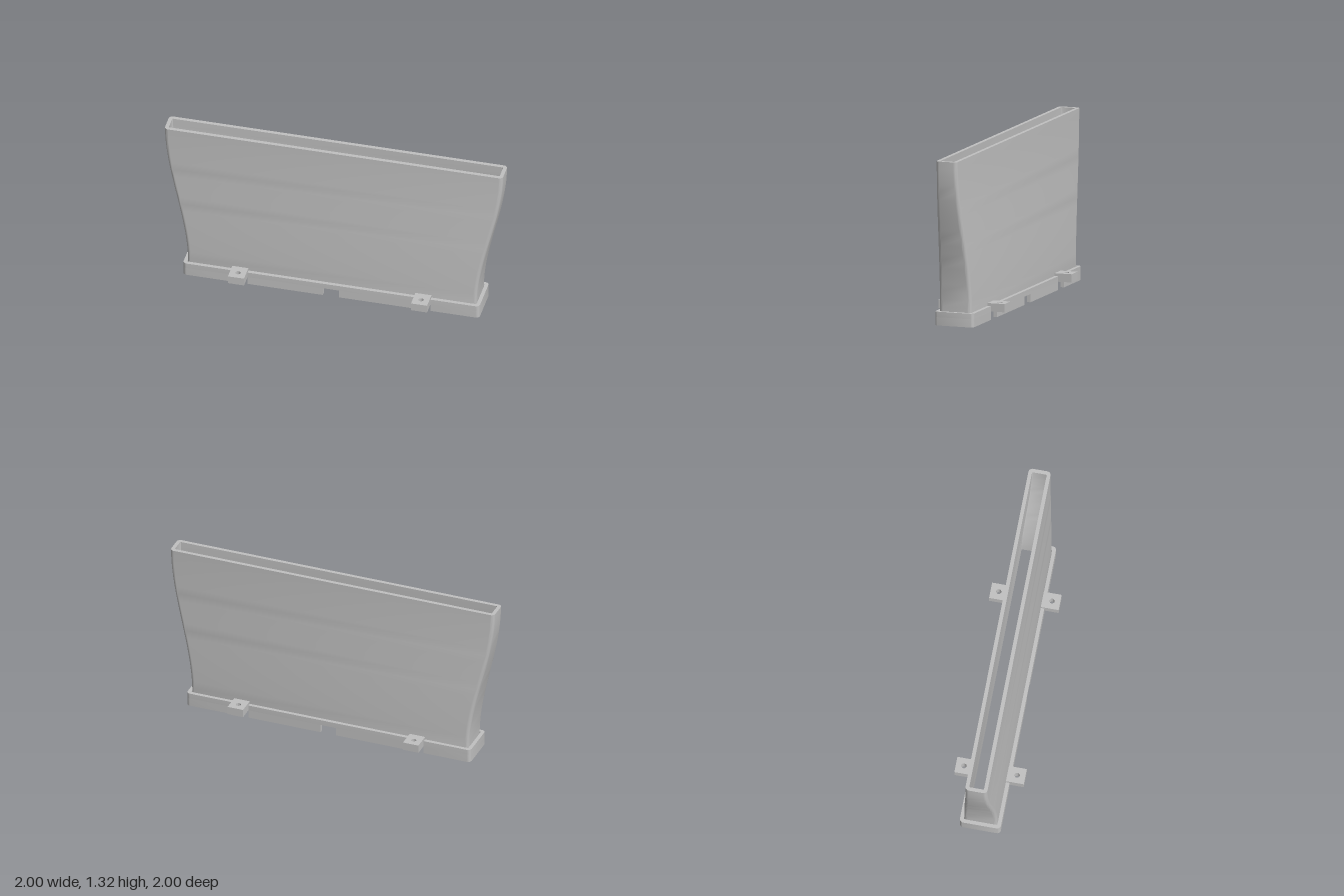
import * as THREE from 'three';
import { toCreasedNormals } from 'three/addons/utils/BufferGeometryUtils.js';

const plastic = new THREE.MeshStandardMaterial({ color: 0xc0c0c0 });
plastic.name = 'light grey plastic';

// Outline of a rounded rectangle given by its half length, half width and corner radius
function roundedRect(hx, hz, r, n = 6) {
  const pts = [];
  [[1, 1], [-1, 1], [-1, -1], [1, -1]].forEach(([sx, sz], q) => {
    for (let i = 0; i <= n; i++) {
      const a = (q + i / n) * Math.PI / 2;
      pts.push(new THREE.Vector2(sx * (hx - r) + r * Math.cos(a), sz * (hz - r) + r * Math.sin(a)));
    }
  });
  return pts;
}

// Extrude a plan shape upwards from y0 to y1
function slab(shape, y0, y1, name) {
  const g = new THREE.ExtrudeGeometry(shape, { depth: y1 - y0, bevelEnabled: false, curveSegments: 16 });
  g.rotateX(-Math.PI / 2).translate(0, y0, 0);
  const m = new THREE.Mesh(toCreasedNormals(g, 0.6), plastic);
  m.name = name;
  return m;
}

// Hollow flared duct, lofted up the outside, over the rim and down the inside
function ductGeometry() {
  const y0 = 0.08, y1 = 1.315, wall = 0.029, steps = 20, rings = [];
  const ring = (y, inset) => {
    const t = THREE.MathUtils.smoothstep(y, 0.1, y1);
    const hx = THREE.MathUtils.lerp(1.15, 1.345, t) - inset;
    const hz = THREE.MathUtils.lerp(0.1325, 0.0865, t) - inset;
    rings.push(roundedRect(hx, hz, inset ? 0.006 : 0.03).map(p => [p.x, y, p.y]));
  };
  for (let i = 0; i <= steps; i++) ring(y0 + (y1 - y0) * i / steps, 0);
  for (let i = steps; i >= 0; i--) ring(y0 + (y1 - y0) * i / steps, wall);
  const n = rings[0].length, pos = rings.flat(2), index = [];
  for (let k = 0; k < rings.length; k++) {
    const a0 = k * n, b0 = ((k + 1) % rings.length) * n;
    for (let i = 0; i < n; i++) {
      const j = (i + 1) % n;
      index.push(a0 + i, b0 + i, a0 + j, a0 + j, b0 + i, b0 + j);
    }
  }
  const g = new THREE.BufferGeometry();
  g.setAttribute('position', new THREE.Float32BufferAttribute(pos, 3));
  g.setIndex(index);
  return toCreasedNormals(g, 0.6);
}

export function createModel() {
  const model = new THREE.Group();
  model.name = 'flaredDuct';
  const body = new THREE.Group();
  body.name = 'ductAssembly';
  body.rotation.y = -Math.PI / 4;
  model.add(body);

  const duct = new THREE.Mesh(ductGeometry(), plastic);
  duct.name = 'duct';
  body.add(duct);

  // Collar: continuous upper ring
  const HX = 1.179, HZ = 0.161, T = 0.03, notchTop = 0.065, collarTop = 0.108;
  const tabX = 0.728, half = 0.064;
  const ring = new THREE.Shape(roundedRect(HX, HZ, 0.03));
  ring.holes.push(new THREE.Path(roundedRect(HX - T, HZ - T, 0.004)));
  body.add(slab(ring, notchTop, collarTop, 'collarRing'));

  // Collar: lower wall broken by three notches on each long side
  for (const s of [-1, 1]) {
    const x0 = tabX + half;
    const outer = roundedRect(HX, HZ, 0.03).filter(p => p.x > 0);
    const top = outer.filter(p => p.y > 0).reverse();
    const bottom = outer.filter(p => p.y < 0).reverse();
    const pts = [new THREE.Vector2(x0, HZ), ...top, ...bottom, new THREE.Vector2(x0, -HZ),
      new THREE.Vector2(x0, T - HZ), new THREE.Vector2(HX - T, T - HZ),
      new THREE.Vector2(HX - T, HZ - T), new THREE.Vector2(x0, HZ - T)];
    const end = slab(new THREE.Shape(pts), 0, notchTop, 'collarEnd');
    if (s < 0) end.rotation.y = Math.PI;
    body.add(end);

    for (const sz of [-1, 1]) {
      const a = half, b = tabX - half;
      const side = new THREE.Mesh(new THREE.BoxGeometry(b - a, notchTop, T), plastic);
      side.position.set(s * (a + b) / 2, notchTop / 2, sz * (HZ - T / 2));
      side.name = 'collarSide';
      body.add(side);

      // Mounting tab with a screw hole
      const z0 = 0.131, z1 = 0.273;
      const tab = new THREE.Shape([[-half, z0], [half, z0], [half, z1], [-half, z1]]
        .map(([x, y]) => new THREE.Vector2(x, y)));
      const hole = new THREE.Path();
      hole.absarc(0, 0.209, 0.02, 0, Math.PI * 2, true);
      tab.holes.push(hole);
      const mount = slab(tab, notchTop, 0.13, 'mountingTab');
      mount.position.x = s * tabX;
      if (sz > 0) mount.rotation.y = Math.PI;
      body.add(mount);
    }
  }
  return model;
}
